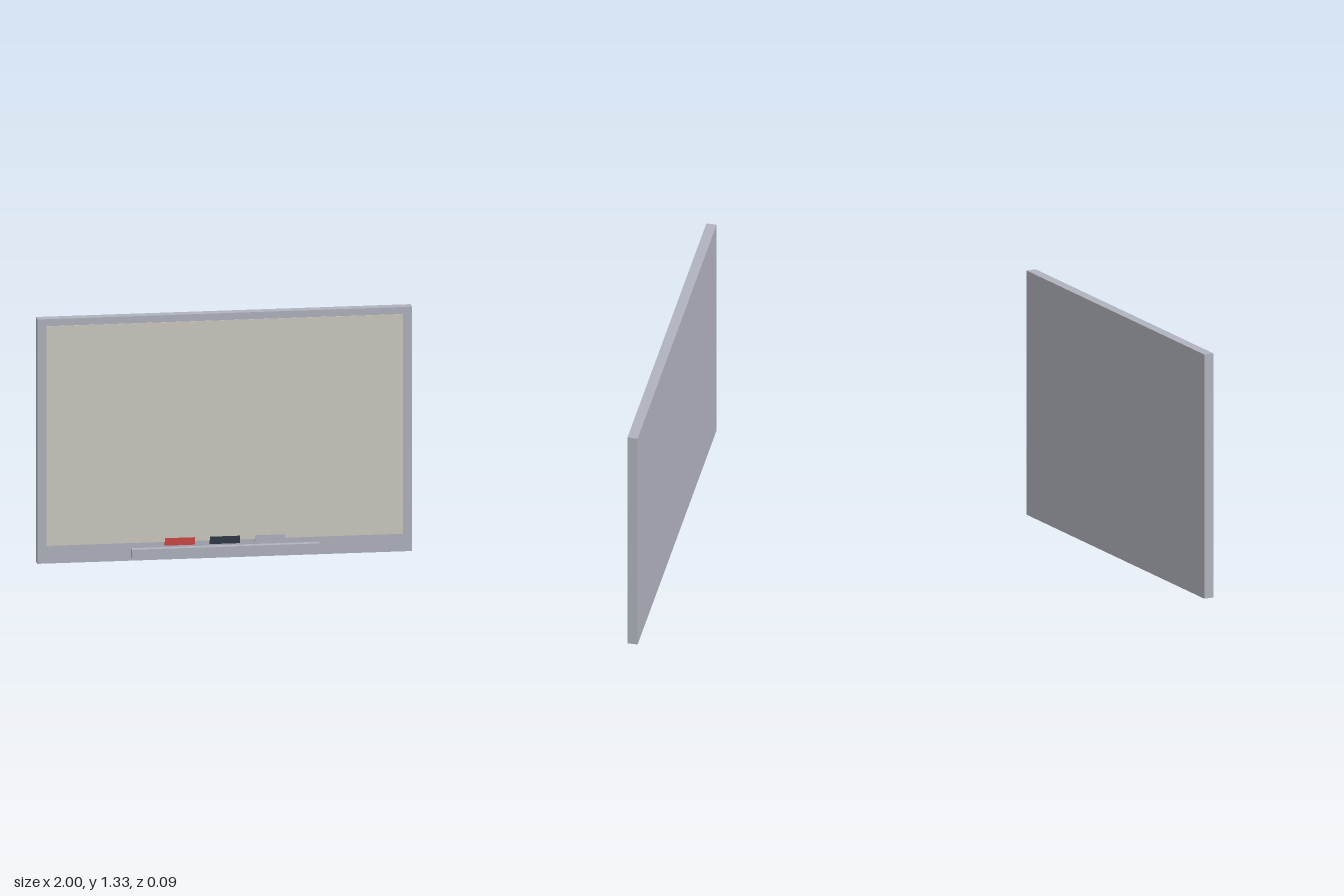
import * as THREE from 'three';

const material = (name, color) => {
  const m = new THREE.MeshStandardMaterial({ color });
  m.name = name;
  return m;
};

export function createModel() {
  const group = new THREE.Group();
  group.name = 'whiteboard';

  const metal = material('grey metal', 0xb0b2bd);
  const surface = material('warm white', 0xcbc7bf);
  const red = material('red', 0xcc4545);
  const dark = material('dark navy', 0x2b3745);

  // Box given by its lower and upper limits on each axis
  const box = (name, mat, [x0, x1], [y0, y1], [z0, z1]) => {
    const mesh = new THREE.Mesh(new THREE.BoxGeometry(x1 - x0, y1 - y0, z1 - z0), mat);
    mesh.position.set((x0 + x1) / 2, (y0 + y1) / 2, (z0 + z1) / 2);
    mesh.name = name;
    group.add(mesh);
  };

  // Board
  box('frame', metal, [-1, 1], [0, 1.333], [-0.045, 0.01]);
  box('writingSurface', surface, [-0.95, 0.95], [0.097, 1.295], [0.006, 0.0135]);

  // Ledge along the bottom
  box('tray', metal, [-0.5, 0.5], [0.018, 0.068], [0.005, 0.045]);

  // Markers resting above the ledge
  [['redMarker', red], ['darkMarker', dark], ['greyMarker', metal]].forEach(([name, mat], i) => {
    const x = (i - 1) * 0.24;
    box(name, mat, [x - 0.08, x + 0.08], [0.077, 0.117], [0.007, 0.0165]);
  });

  return group;
}
